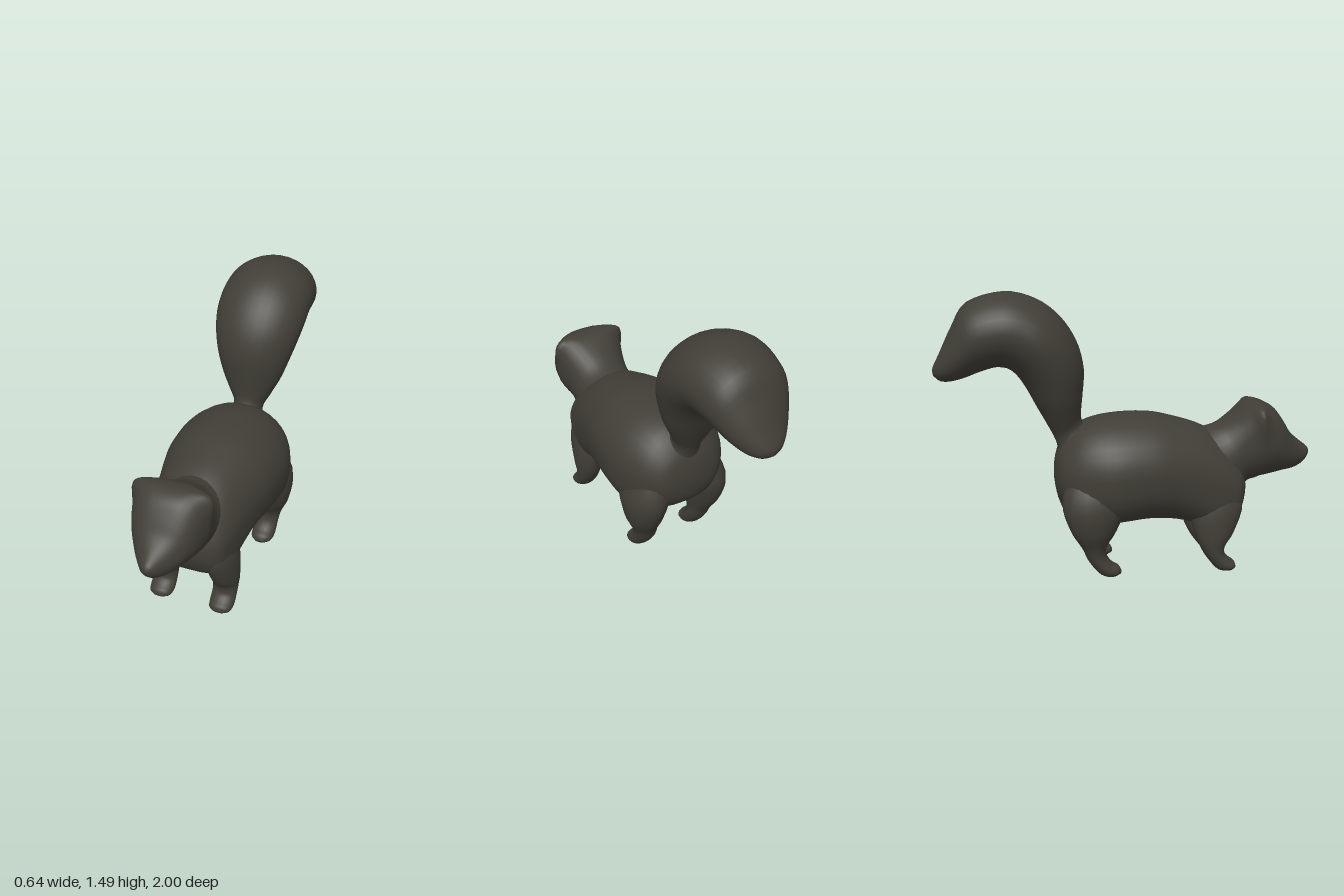
import * as THREE from 'three';

const fur = new THREE.MeshStandardMaterial({ color: 0x403e36 });
fur.name = 'darkFur';

// Smooth loft. Each section is
// [topZ, topY, bottomZ, bottomY, halfWidth, centreX, upperPower, lowerPower, flare].
// Powers below 1 make that half of the ring boxier; flare widens the upper half.
function loft(name, sections, { steps = 4, sides = 32 } = {}) {
  const curve = (f) => new THREE.CatmullRomCurve3(sections.map(f), false, 'catmullrom', 0.5);
  const centres = curve(([tz, ty, bz, by, , cx = 0]) => new THREE.Vector3(cx, (ty + by) / 2, (tz + bz) / 2));
  const radii = curve(([tz, ty, bz, by, w]) => new THREE.Vector3(w, (ty - by) / 2, (tz - bz) / 2));
  const shapes = curve(([, , , , , , up = 1, low = 1, flare = 0]) => new THREE.Vector3(up, low, flare));
  const rings = (sections.length - 1) * steps;
  const pos = [], index = [];
  for (let i = 0; i <= rings; i++) {
    const t = i / rings;
    const c = centres.getPoint(t), r = radii.getPoint(t), shape = shapes.getPoint(t);
    for (let j = 0; j < sides; j++) {
      const a = (j / sides) * Math.PI * 2;
      const power = Math.cos(a) > 0 ? shape.x : shape.y;
      const round = (v) => Math.sign(v) * Math.abs(v) ** power;
      const k = round(Math.cos(a));
      const s = round(Math.sin(a)) * (1 + shape.z * Math.max(k, 0));
      pos.push(c.x + r.x * s, c.y + r.y * k, c.z + r.z * k);
      if (i < rings) {
        const p = i * sides + j, q = i * sides + ((j + 1) % sides);
        index.push(p, p + sides, q, q, p + sides, q + sides);
      }
    }
  }
  // End caps
  const first = pos.length / 3, last = first + 1, base = rings * sides;
  pos.push(...centres.getPoint(0).toArray(), ...centres.getPoint(1).toArray());
  for (let j = 0; j < sides; j++) {
    const n = (j + 1) % sides;
    index.push(first, j, n, last, base + n, base + j);
  }
  const g = new THREE.BufferGeometry();
  g.setAttribute('position', new THREE.Float32BufferAttribute(pos, 3));
  g.setIndex(index);
  g.computeVertexNormals();
  const mesh = new THREE.Mesh(g, fur);
  mesh.name = name;
  return mesh;
}

export function createModel() {
  const model = new THREE.Group();
  model.name = 'bushyTailedAnimal';

  // Torso, rump to chest
  model.add(loft('body', [
    [-0.39, 0.55, -0.39, 0.5, 0.03],
    [-0.378, 0.63, -0.375, 0.42, 0.13],
    [-0.345, 0.71, -0.335, 0.36, 0.2, 0, 1, 0.85],
    [-0.25, 0.8, -0.25, 0.3, 0.268, 0, 1, 0.75],
    [-0.1, 0.84, -0.1, 0.275, 0.318, 0, 1, 0.72],
    [0.1, 0.845, 0.1, 0.285, 0.31, 0, 1, 0.8],
    [0.25, 0.815, 0.25, 0.27, 0.28, 0, 1, 0.8],
    [0.4, 0.765, 0.4, 0.235, 0.248, 0, 1, 0.65],
    [0.51, 0.69, 0.5, 0.235, 0.225, 0, 1, 0.6],
    [0.585, 0.6, 0.57, 0.28, 0.195, 0, 1, 0.6],
    [0.62, 0.52, 0.61, 0.35, 0.13, 0, 1, 0.7],
    [0.635, 0.46, 0.63, 0.41, 0.04],
  ]));

  // Neck and head with pointed ear corners, ending at the snout
  model.add(loft('head', [
    [0.32, 0.74, 0.42, 0.38, 0.18],
    [0.46, 0.766, 0.6, 0.42, 0.17],
    [0.55, 0.815, 0.65, 0.455, 0.175, 0, 0.85],
    [0.63, 0.87, 0.685, 0.465, 0.188, 0, 0.62, 1, 0.05],
    [0.68, 0.886, 0.71, 0.475, 0.195, 0, 0.38, 1, 0.17],
    [0.73, 0.884, 0.74, 0.48, 0.188, 0, 0.55, 1, 0.04],
    [0.785, 0.855, 0.79, 0.49, 0.172, 0, 0.75],
    [0.835, 0.79, 0.84, 0.5, 0.145, 0, 0.8],
    [0.88, 0.72, 0.9, 0.51, 0.108, 0, 0.85],
    [0.94, 0.665, 0.95, 0.53, 0.066],
    [0.985, 0.63, 0.983, 0.56, 0.034],
    [1.0, 0.607, 1.0, 0.59, 0.008],
  ]));

  // Bushy tail, tip to root
  model.add(loft('tail', [
    [-1.0, 1.095, -0.993, 1.065, 0.015],
    [-0.992, 1.12, -0.96, 1.04, 0.062],
    [-0.96, 1.185, -0.91, 1.038, 0.115],
    [-0.9, 1.31, -0.84, 1.055, 0.17],
    [-0.82, 1.435, -0.76, 1.085, 0.214],
    [-0.63, 1.488, -0.69, 1.105, 0.238],
    [-0.47, 1.45, -0.65, 1.105, 0.243],
    [-0.35, 1.36, -0.615, 1.095, 0.243],
    [-0.265, 1.23, -0.575, 1.06, 0.228],
    [-0.23, 1.09, -0.53, 0.995, 0.2],
    [-0.238, 0.95, -0.48, 0.9, 0.16],
    [-0.245, 0.87, -0.425, 0.8, 0.115],
    [-0.24, 0.81, -0.38, 0.71, 0.08],
    [-0.2, 0.75, -0.36, 0.62, 0.11],
  ]));

  // Leg tops sink into the torso
  const frontLeg = [
    [0.52, 0.56, 0.34, 0.52, 0.06, 0.12],
    [0.595, 0.38, 0.31, 0.33, 0.085, 0.15],
    [0.545, 0.22, 0.34, 0.2, 0.076, 0.168],
    [0.5, 0.15, 0.375, 0.12, 0.068, 0.17],
    [0.495, 0.105, 0.415, 0.06, 0.066, 0.17],
    [0.52, 0.075, 0.46, 0.012, 0.066, 0.17],
    [0.547, 0.055, 0.515, 0.002, 0.056, 0.17],
    [0.557, 0.03, 0.547, 0.014, 0.025, 0.17],
  ];
  const backLeg = [
    [-0.06, 0.62, -0.31, 0.62, 0.07, 0.14],
    [-0.03, 0.42, -0.366, 0.42, 0.118, 0.178],
    [-0.085, 0.27, -0.327, 0.27, 0.1, 0.188],
    [-0.133, 0.185, -0.265, 0.165, 0.073, 0.177],
    [-0.138, 0.13, -0.23, 0.09, 0.067, 0.17],
    [-0.11, 0.085, -0.17, 0.02, 0.066, 0.17],
    [-0.075, 0.062, -0.11, 0.004, 0.056, 0.17],
    [-0.06, 0.036, -0.07, 0.016, 0.025, 0.17],
  ];

  // Mirrored legs
  for (const [side, sign] of [['left', 1], ['right', -1]]) {
    const mirror = (rows) => rows.map((r) => [...r.slice(0, 5), r[5] * sign]);
    model.add(loft(side + 'FrontLeg', mirror(frontLeg), { sides: 20 }));
    model.add(loft(side + 'BackLeg', mirror(backLeg), { sides: 20 }));
  }
  return model;
}
